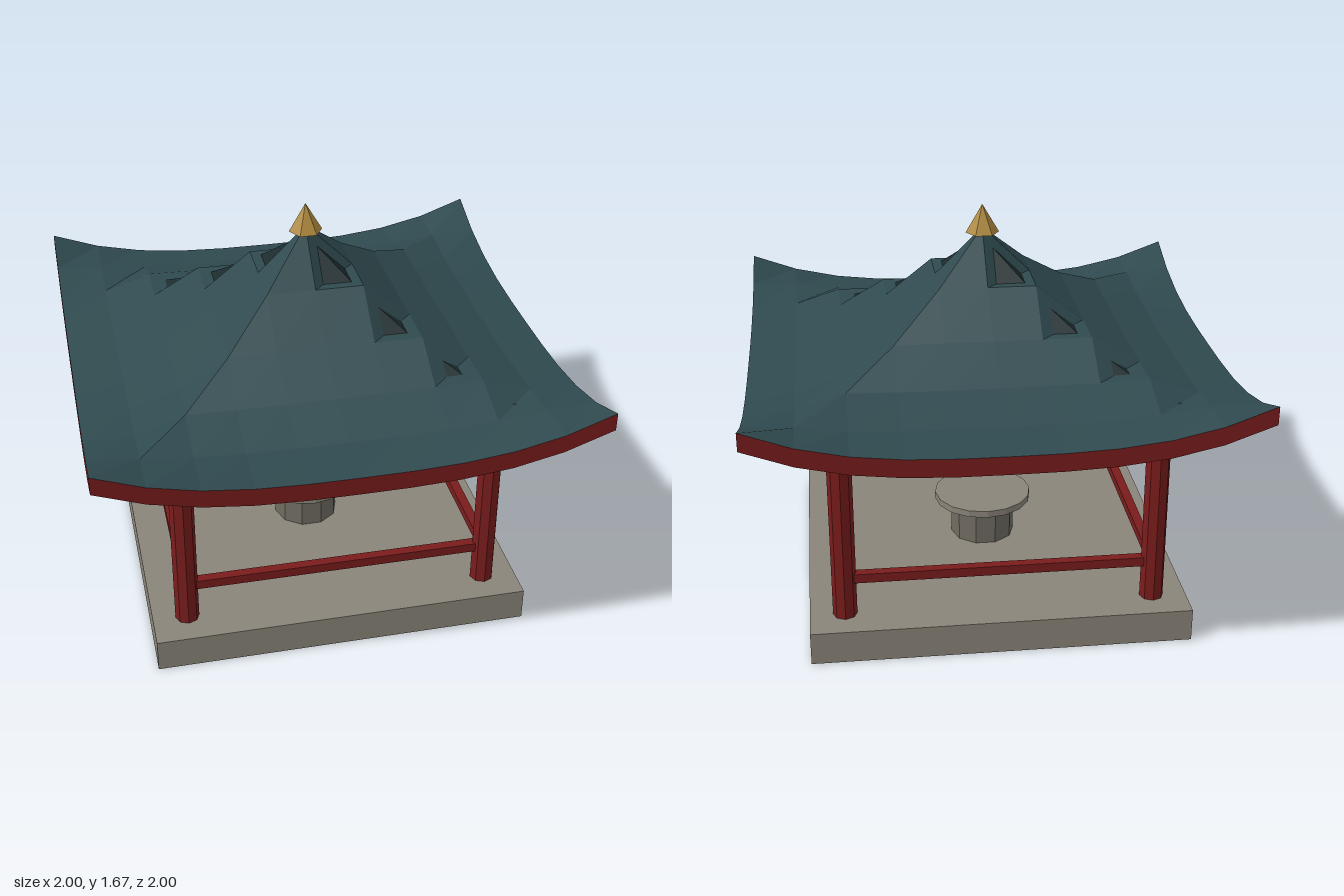
import * as THREE from 'three';

const material = (color, side = THREE.FrontSide) =>
  new THREE.MeshStandardMaterial({ color, side, flatShading: true });

// Roof height: concave hipped slope with corners sweeping up
function roofHeight(x, z) {
  const r = Math.min(1, Math.max(Math.abs(x), Math.abs(z)));
  return 1 + 0.572 * Math.pow(1 - r, 1.9) + 0.15 * Math.pow(Math.abs(x * z), 3);
}

// Square grid draped over the roof curve; tilt decides which way it faces
function roofSheet(tilt, offset) {
  const g = new THREE.PlaneGeometry(2, 2, 10, 10).rotateX(tilt);
  const p = g.attributes.position;
  for (let i = 0; i < p.count; i++) {
    p.setY(i, roofHeight(p.getX(i), p.getZ(i)) + offset);
  }
  return g;
}

// Upright strip that follows one roof edge
function fasciaStrip() {
  const depth = 0.075;
  const g = new THREE.PlaneGeometry(2, depth, 10, 1);
  const p = g.attributes.position;
  for (let i = 0; i < p.count; i++) {
    const drop = p.getY(i) > 0 ? 0 : depth;
    p.setXYZ(i, p.getX(i), roofHeight(p.getX(i), 1) - drop, 1);
  }
  return g;
}

export function createModel() {
  const model = new THREE.Group();
  const stone = material(0x8a857a);
  const darkStone = material(0x706c62);
  const red = material(0x7a1c1c);
  const redSheet = material(0x7a1c1c, THREE.DoubleSide);
  const tile = material(0x2f4a4f, THREE.DoubleSide);
  const soffit = material(0x1a2a2d, THREE.DoubleSide);
  const gold = material(0xb08a3e);

  const add = (name, geometry, mat, x = 0, y = 0, z = 0, parent = model) => {
    const mesh = new THREE.Mesh(geometry, mat);
    mesh.name = name;
    mesh.position.set(x, y, z);
    parent.add(mesh);
    return mesh;
  };

  // Stone platform
  add('platform', new THREE.BoxGeometry(1.57, 0.14, 1.57), stone, 0, 0.07, 0);

  // Each side: one column, top beam, low rail and roof fascia
  const column = new THREE.CylinderGeometry(0.05, 0.05, 0.84, 8);
  const beam = new THREE.BoxGeometry(1.28, 0.06, 0.05);
  const rail = new THREE.BoxGeometry(1.28, 0.04, 0.04);
  const fascia = fasciaStrip();
  for (let i = 0; i < 4; i++) {
    const side = new THREE.Group();
    side.name = 'side' + (i + 1);
    side.rotation.y = i * Math.PI / 2;
    add('column', column, red, 0.64, 0.56, 0.64, side);
    add('topBeam', beam, red, 0, 0.96, 0.64, side);
    add('rail', rail, red, 0, 0.31, 0.64, side);
    add('fascia', fascia, redSheet, 0, 0, 0, side);
    model.add(side);
  }

  // Roof covering and its underside
  add('roof', roofSheet(-Math.PI / 2, 0), tile);
  add('roofUnderside', roofSheet(Math.PI / 2, -0.04), soffit);

  // Finial
  add('finial', new THREE.ConeGeometry(0.07, 0.12, 6).rotateY(Math.PI / 2), gold, 0, 1.61, 0);

  // Round stone table
  add('tablePedestal', new THREE.CylinderGeometry(0.14, 0.14, 0.17, 10).rotateY(Math.PI / 2),
    darkStone, 0, 0.225, 0);
  add('tableTop', new THREE.CylinderGeometry(0.213, 0.213, 0.03, 16), stone, 0, 0.325, 0);

  return model;
}
